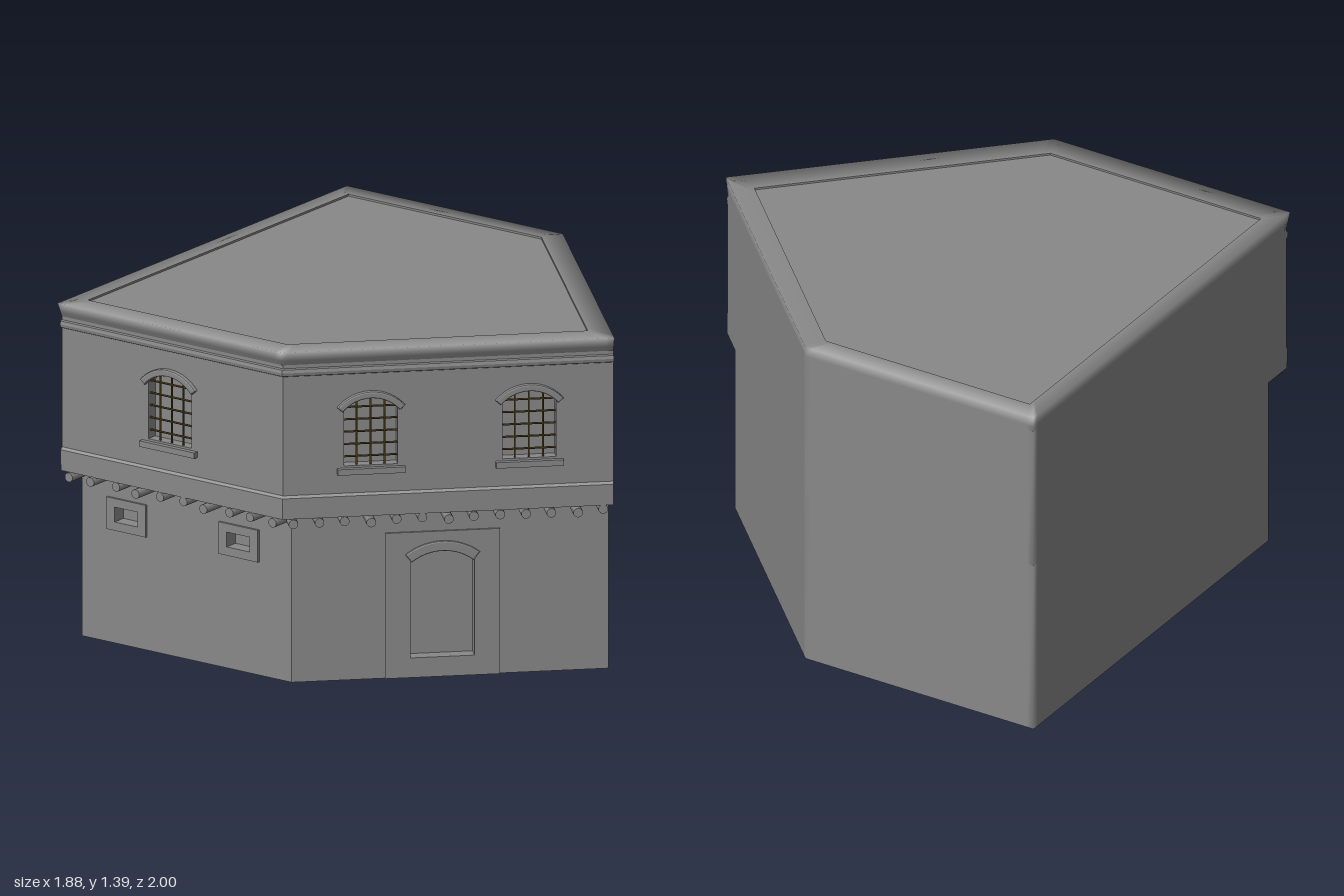
import * as THREE from 'three';

const grey = new THREE.MeshStandardMaterial({ color: 0x888888, side: THREE.DoubleSide });
const iron = new THREE.MeshStandardMaterial({ color: 0x4a3a1c });
const W = -0.915, LOW = -0.13, R2 = Math.SQRT2, JETTY = 0.73;
const RIGHT = [[0.94, 0.04], [0.94, -1]];

// Plan of the two decorated walls, pushed outward by o: rear corner, front-left corner, tip
const outline = o => [[W - o, -1], [W - o, W - o + 0.98 + o * R2], [-o / R2, 0.98 + o / R2]];
const row = (pts, y) => pts.map(([x, z]) => [x, y, z]);
const dist = (p, q) => Math.hypot(p[0] - q[0], p[1] - q[1]);

// Extra points beside each corner, so that smooth shading only rounds the corner itself
function tightCorners(pts, closed) {
  const n = pts.length, out = [];
  const toward = (p, q) => {
    const t = 0.03 / dist(p, q);
    return [p[0] + (q[0] - p[0]) * t, p[1] + (q[1] - p[1]) * t];
  };
  pts.forEach((p, i) => {
    if (closed || i > 0) out.push(toward(p, pts[(i + n - 1) % n]));
    out.push(p);
    if (closed || i < n - 1) out.push(toward(p, pts[(i + 1) % n]));
  });
  return out;
}

function add(parent, name, geometry, x = 0, y = 0, z = 0, material = grey) {
  const m = new THREE.Mesh(geometry, material);
  m.name = name;
  m.position.set(x, y, z);
  parent.add(m);
  return m;
}

// Skin rows of points, bottom to top, each running left to right as seen from outside
function loft(rows, { closed = false, caps = false, flat = false } = {}) {
  const n = rows[0].length, index = [];
  for (let j = 0; j < rows.length - 1; j++)
    for (let i = 0; i < (closed ? n : n - 1); i++) {
      const a = j * n + i, b = j * n + (i + 1) % n;
      index.push(a, b, b + n, a, b + n, a + n);
    }
  if (caps)
    for (let j = 1; j < rows.length - 1; j++) {
      index.push(0, j * n, (j + 1) * n);
      index.push(n - 1, (j + 1) * n + n - 1, j * n + n - 1);
    }
  let g = new THREE.BufferGeometry();
  g.setAttribute('position', new THREE.Float32BufferAttribute(rows.flat(2), 3));
  g.setIndex(index);
  if (flat) g = g.toNonIndexed();
  g.computeVertexNormals();
  return g;
}

// Moulding with profile points [out, y] carried around both decorated walls
const moulding = profile => loft(profile.map(([o, y]) => row(outline(o), y)), { caps: true, flat: true });

function rect(x0, y0, x1, y1) {
  return new THREE.Shape([[x0, y0], [x1, y0], [x1, y1], [x0, y1]].map(p => new THREE.Vector2(...p)));
}

// Segmental arch data: centre height, radius and start angle
function arc(w, spring, rise) {
  const r = (w * w / 4 + rise * rise) / (2 * rise);
  return { r, cy: spring + rise - r, a: Math.atan2(r - rise, w / 2) };
}

function arch(cx, w, y0, spring, rise) {
  const { r, cy, a } = arc(w, spring, rise), s = new THREE.Shape();
  s.moveTo(cx - w / 2, y0);
  s.lineTo(cx + w / 2, y0);
  s.absarc(cx, cy, r, a, Math.PI - a, false);
  s.closePath();
  return s;
}

function extrude(shape, depth, holes = [], bevel = 0) {
  shape.holes = holes;
  return new THREE.ExtrudeGeometry(shape, {
    depth, curveSegments: 14, bevelEnabled: bevel > 0, bevelSize: bevel, bevelThickness: bevel, bevelSegments: 2,
  });
}

// Curved hood following an arch
function hood(cx, w, spring, rise, t, depth) {
  const { r, cy, a } = arc(w, spring, rise), s = new THREE.Shape();
  s.absarc(cx, cy, r + t, a, Math.PI - a, false);
  s.absarc(cx, cy, r, Math.PI - a, a, true);
  s.closePath();
  return extrude(s, depth, [], 0.006);
}

// Recess behind the wall face: thin reveal and a back panel
function niche(g, outer, hole, panelName) {
  add(g, 'reveal', extrude(outer, 0.048, [hole]), 0, 0, -0.05);
  add(g, panelName, new THREE.ShapeGeometry(hole, 14), 0, 0, -0.048);
}

// Wall frame: local x runs along the wall, y up, z outward
function wallFrame(root, name, [x, z], angle) {
  const g = new THREE.Group();
  g.name = name;
  g.position.set(x, 0, z);
  g.rotation.y = angle;
  root.add(g);
  return g;
}

function wallPanel(g, length, y0, y1, holes) {
  const s = rect(0, y0, length, y1);
  s.holes = holes;
  add(g, 'wallPanel', new THREE.ShapeGeometry(s, 14));
}

// Arched window with sill, hood and iron grille; returns the hole for the wall
function archedWindow(wall, cx) {
  const g = new THREE.Group(), w = 0.21, y0 = 0.91, spring = 1.14, rise = 0.05;
  g.name = 'archedWindow';
  wall.add(g);
  const hole = arch(cx, w, y0, spring, rise);
  niche(g, arch(cx, w + 0.01, y0 - 0.005, spring, rise + 0.005), hole, 'pane');
  add(g, 'sill', new THREE.BoxGeometry(0.265, 0.024, 0.04), cx, 0.89, 0);
  add(g, 'hood', hood(cx, 0.225, 1.14, 0.05, 0.016, 0.016), 0, 0, -0.005);
  for (let i = -1; i <= 1; i++)
    add(g, 'verticalBar', new THREE.CylinderGeometry(0.004, 0.004, 0.27, 6), cx + i * 0.055, y0 + 0.133, -0.015, iron);
  for (let j = 0; j < 5; j++)
    add(g, 'crossBar', new THREE.CylinderGeometry(0.004, 0.004, w, 6), cx, y0 + 0.035 + j * 0.05, -0.015, iron).rotation.z = Math.PI / 2;
  return hole;
}

// Small framed opening; returns the hole for the wall
function smallWindow(wall, cx) {
  const hole = rect(cx - 0.055, 0.495, cx + 0.055, 0.555);
  niche(wall, rect(cx - 0.06, 0.49, cx + 0.06, 0.56), hole, 'smallWindowPane');
  add(wall, 'smallWindowFrame', extrude(rect(cx - 0.095, 0.46, cx + 0.095, 0.59), 0.012, [hole]), 0, 0, -0.002);
  return hole;
}

// Arched doorway in a raised rectangular surround
function doorway(wall, cx) {
  const hole = arch(cx, 0.25, 0.08, 0.47, 0.04);
  niche(wall, arch(cx, 0.26, 0.075, 0.47, 0.045), hole, 'doorPanel');
  add(wall, 'doorSurround', extrude(rect(cx - 0.225, 0, cx + 0.225, 0.59), 0.01, [hole]), 0, 0, -0.002);
  add(wall, 'doorArch', hood(cx, 0.24, 0.475, 0.04, 0.03, 0.006), 0, 0, 0.002);
  return rect(cx - 0.224, 0.001, cx + 0.224, 0.589);
}

// Row of round joist ends carrying the overhang
function joists(wall, length, count) {
  for (let i = 0; i < count; i++) {
    const len = 0.155 + 0.012 * Math.sin(i * 2.4);
    add(wall, 'joist', new THREE.CylinderGeometry(0.019, 0.019, len, 10),
      0.04 + (length - 0.08) * i / (count - 1), 0.685 + 0.004 * Math.sin(i * 1.7), LOW - 0.015 + len / 2)
      .rotation.x = Math.PI / 2;
  }
}

export function createModel() {
  const root = new THREE.Group();
  root.name = 'jettiedCornerHouse';
  const up = outline(0), low = outline(LOW);

  // Plain walls: from the tip round the right side and back, following the overhang
  add(root, 'plainWalls', loft([[LOW, 0], [LOW, JETTY], [0, JETTY], [0, 1.33]].map(([o, y]) => {
    const [back, , tip] = outline(o);
    return row(tightCorners([tip, ...RIGHT, back], false), y);
  })));

  // Upper storey
  const upperFacade = wallFrame(root, 'upperFacade', up[1], -Math.PI / 4);
  const upperLen = dist(up[1], up[2]);
  wallPanel(upperFacade, upperLen, JETTY, 1.335, [0.345, 0.965].map(s => archedWindow(upperFacade, s)));
  joists(upperFacade, upperLen, 13);
  const upperSide = wallFrame(root, 'upperSideWall', up[0], -Math.PI / 2);
  const sideLen = dist(up[0], up[1]);
  wallPanel(upperSide, sideLen, JETTY, 1.335, [archedWindow(upperSide, 0.52)]);
  joists(upperSide, sideLen, 10);

  // Lower storey
  const lowerFacade = wallFrame(root, 'lowerFacade', low[1], -Math.PI / 4);
  wallPanel(lowerFacade, dist(low[1], low[2]), 0, JETTY, [doorway(lowerFacade, 0.59)]);
  const lowerSide = wallFrame(root, 'lowerSideWall', low[0], -Math.PI / 2);
  wallPanel(lowerSide, dist(low[0], low[1]), 0, JETTY, [0.22, 0.76].map(s => smallWindow(lowerSide, s)));

  // Overhang planks and string courses
  add(root, 'overhangPlanks', moulding([[LOW, 0.705], [0.005, 0.705], [0.005, JETTY], [LOW, JETTY]]));
  add(root, 'lowerBand', moulding([[0, 0.73], [0.008, 0.73], [0.008, 0.79], [0, 0.8]]));
  add(root, 'stringCourse', moulding([[0, 1.283], [0.009, 1.287], [0.012, 1.3], [0.009, 1.313], [0, 1.316]]));

  // Cornice rolling smoothly over into the flat roof edge
  const inner = [[-0.84, -0.93], [-0.84, 0.03], [-0.005, 0.86], [0.855, 0], [0.855, -0.93]];
  const ring = o => tightCorners([...outline(o), ...RIGHT], true);
  const innerRing = tightCorners(inner, true);
  const cornice = loft([row(ring(0), 1.33), row(ring(0.01), 1.35), row(ring(0.028), 1.39), row(innerRing, 1.39)], { closed: true });
  const normal = cornice.attributes.normal, n = innerRing.length, v = new THREE.Vector3();
  for (let i = 2 * n; i < 3 * n; i++) {
    v.fromBufferAttribute(normal, i).setY(0).normalize().setY(0.8).normalize();
    normal.setXYZ(i, v.x, v.y, v.z);
  }
  add(root, 'cornice', cornice);

  // Roof, set just below its edge
  add(root, 'roofLip', loft([row(inner, 1.39), row(inner, 1.382)], { closed: true, flat: true }));
  const roof = new THREE.ShapeGeometry(new THREE.Shape(inner.map(([x, z]) => new THREE.Vector2(x, -z))));
  add(root, 'roof', roof.rotateX(-Math.PI / 2), 0, 1.382, 0);
  return root;
}
